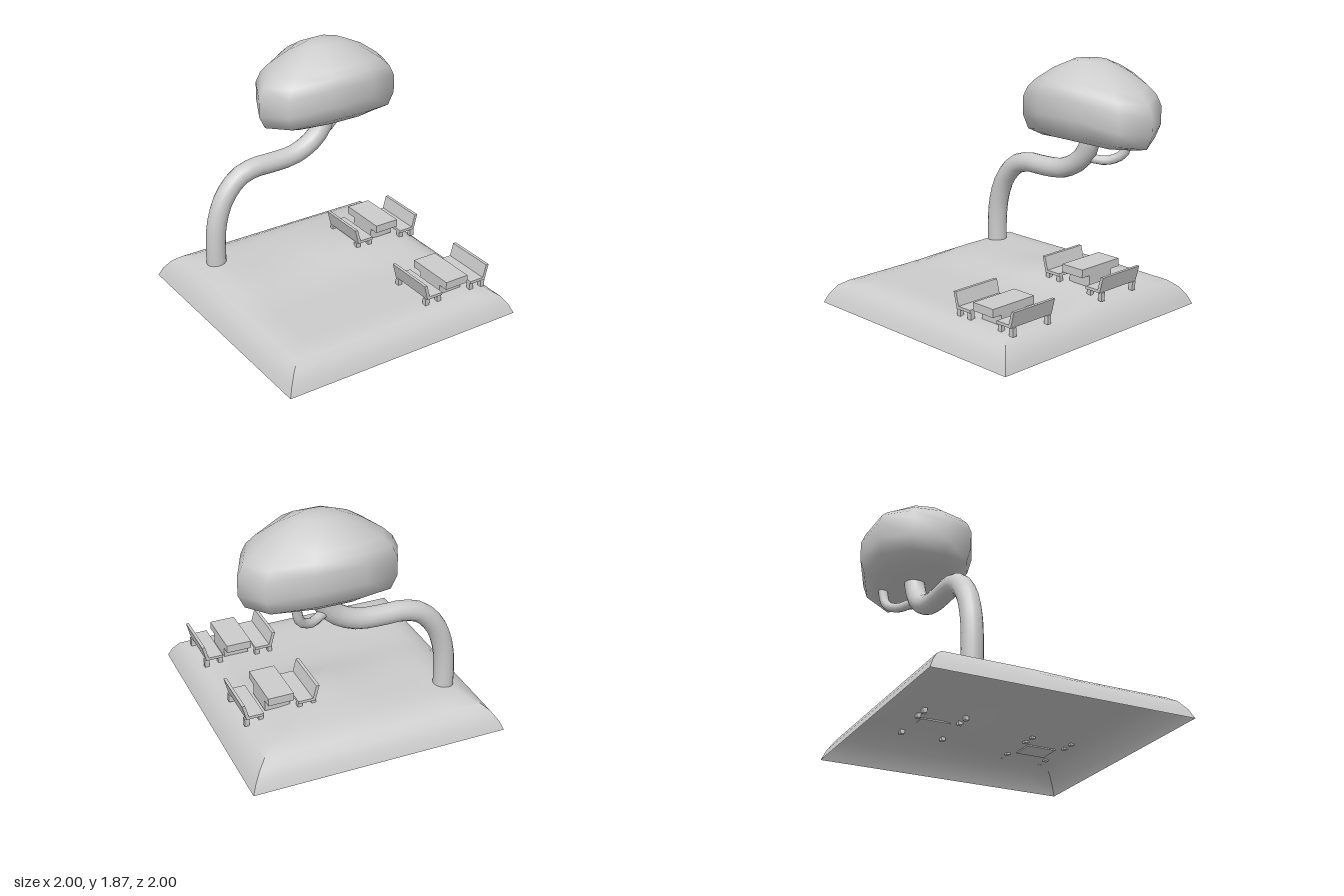
import * as THREE from 'three';
import { mergeVertices, toCreasedNormals } from 'three/addons/utils/BufferGeometryUtils.js';

const material = new THREE.MeshStandardMaterial({ color: 0xcccccc });
const openMaterial = new THREE.MeshStandardMaterial({ color: 0xcccccc, side: THREE.DoubleSide });
const { smoothstep } = THREE.MathUtils;

function add(parent, name, geometry, mat = material) {
  const mesh = new THREE.Mesh(geometry, mat);
  mesh.name = name;
  parent.add(mesh);
  return mesh;
}

// Box given by its limits on each axis
function block(parent, name, [x0, x1], [y0, y1], [z0, z1]) {
  const mesh = add(parent, name, new THREE.BoxGeometry(x1 - x0, y1 - y0, z1 - z0));
  mesh.position.set((x0 + x1) / 2, (y0 + y1) / 2, (z0 + z1) / 2);
}

// Rise of the lawn towards the back, highest right of centre
function rise(x, z) {
  const back = 1 - smoothstep(z, -0.25, 0.25);
  const hill = 0.045 * Math.exp(-(((x - 0.22) / 0.35) ** 2) - ((z + 0.25) / 0.4) ** 2);
  const fade = 1 - smoothstep(Math.max(Math.abs(x), Math.abs(z)), 0.68, 0.95);
  return back * (0.045 + hill) * fade;
}

// Open shell of concentric squares with a rounded, mitred rim
function groundGeometry() {
  const rings = [[1, 0], [0.97, 0.07], [0.92, 0.14], [0.86, 0.18], [0.77, 0.2], [0.66, 0.2],
    [0.53, 0.2], [0.4, 0.2], [0.27, 0.2], [0.13, 0.2], [0, 0.2]];
  const perSide = 10;
  const geometry = new THREE.PlaneGeometry(1, 1, perSide * 4, rings.length - 1);
  const position = geometry.attributes.position;
  rings.forEach(([s, y], row) => {
    for (let i = 0; i <= perSide * 4; i++) {
      let x = s;
      let z = s * (2 * (i % perSide) / perSide - 1);
      for (let k = 0; k < Math.floor(i / perSide) % 4; k++) [x, z] = [-z, x];
      position.setXYZ(row * (perSide * 4 + 1) + i, x, y + rise(x, z), z);
    }
  });
  return toCreasedNormals(geometry, 0.75);
}

// Tube along straight pieces
function limb(parent, name, points, radius, sides) {
  const path = new THREE.CatmullRomCurve3(points.map((p) => new THREE.Vector3(...p)));
  add(parent, name, new THREE.TubeGeometry(path, points.length * 2, radius, sides), openMaterial);
}

// Ten-sided dome, stretched along x with its ends bent down
function crownGeometry() {
  const profile = [[0, 1.27], [0.43, 1.28], [0.7, 1.298], [0.92, 1.37], [1, 1.49], [1, 1.63],
    [0.93, 1.7], [0.81, 1.745], [0.55, 1.81], [0.27, 1.86], [0, 1.865]];
  let geometry = new THREE.LatheGeometry(profile.map((p) => new THREE.Vector2(...p)), 10, Math.PI / 2);
  geometry.scale(0.597, 1, 0.405);
  geometry.deleteAttribute('normal');
  geometry.deleteAttribute('uv');
  geometry = mergeVertices(geometry, 1e-4);
  const position = geometry.attributes.position;
  for (let i = 0; i < position.count; i++) {
    position.setY(i, position.getY(i) - 0.365 * position.getX(i) ** 2);
  }
  geometry.computeVertexNormals();
  return geometry.translate(0.315, 0, -0.565);
}

// Bench facing the table; origin at the table's centre, back towards +x
function bench(name) {
  const group = new THREE.Group();
  group.name = name;
  block(group, 'seat', [0.135, 0.26], [0.25, 0.272], [-0.2, 0.2]);
  for (const z of [-0.17, 0.17]) {
    for (const x of [0.153, 0.262]) {
      block(group, 'leg', [x - 0.018, x + 0.018], [0.185, 0.25], [z - 0.017, z + 0.017]);
    }
  }
  const side = new THREE.Shape();
  side.moveTo(0.245, 0.25);
  side.lineTo(0.27, 0.25);
  side.lineTo(0.302, 0.373);
  side.lineTo(0.278, 0.373);
  const back = new THREE.ExtrudeGeometry(side, { depth: 0.4, bevelEnabled: false });
  add(group, 'backrest', back.translate(0, 0, -0.2));
  return group;
}

// Table with a bench on each side, each lifted to the lawn below it
function picnicSet(name, z, leftLift, tableLift, rightLift) {
  const group = new THREE.Group();
  group.name = name;
  group.position.set(0.585, 0, z);
  const table = new THREE.Group();
  table.name = 'table';
  table.position.y = tableLift;
  block(table, 'tableTop', [-0.1, 0.1], [0.28, 0.342], [-0.2, 0.2]);
  block(table, 'pedestal', [-0.098, 0.098], [0.19, 0.28], [-0.12, 0.12]);
  const outer = bench('leftBench');
  outer.position.y = leftLift;
  const inner = bench('rightBench');
  inner.position.y = rightLift;
  inner.rotation.y = Math.PI;
  group.add(table, outer, inner);
  return group;
}

export function createModel() {
  const model = new THREE.Group();
  model.name = 'picnicGarden';
  add(model, 'ground', groundGeometry(), openMaterial);

  const tree = new THREE.Group();
  tree.name = 'tree';
  const z = -0.565;
  limb(tree, 'trunk', [[-0.7, 0.18, z], [-0.7, 0.4, z], [-0.68, 0.58, z], [-0.61, 0.77, z],
    [-0.48, 0.91, z], [-0.34, 0.955, z], [-0.16, 0.957, z], [0.03, 0.975, z], [0.2, 1.06, z],
    [0.29, 1.17, z], [0.34, 1.32, z]], 0.078, 16);
  limb(tree, 'branch', [[0.25, 1.1, -0.57], [0.33, 1.09, -0.61], [0.41, 1.085, -0.66],
    [0.52, 1.15, -0.715], [0.56, 1.3, -0.735]], 0.036, 10);
  add(tree, 'crown', crownGeometry());
  model.add(tree);

  model.add(picnicSet('frontPicnicSet', 0.61, 0, 0, 0));
  model.add(picnicSet('backPicnicSet', -0.29, 0.025, 0.068, 0.052));
  return model;
}
